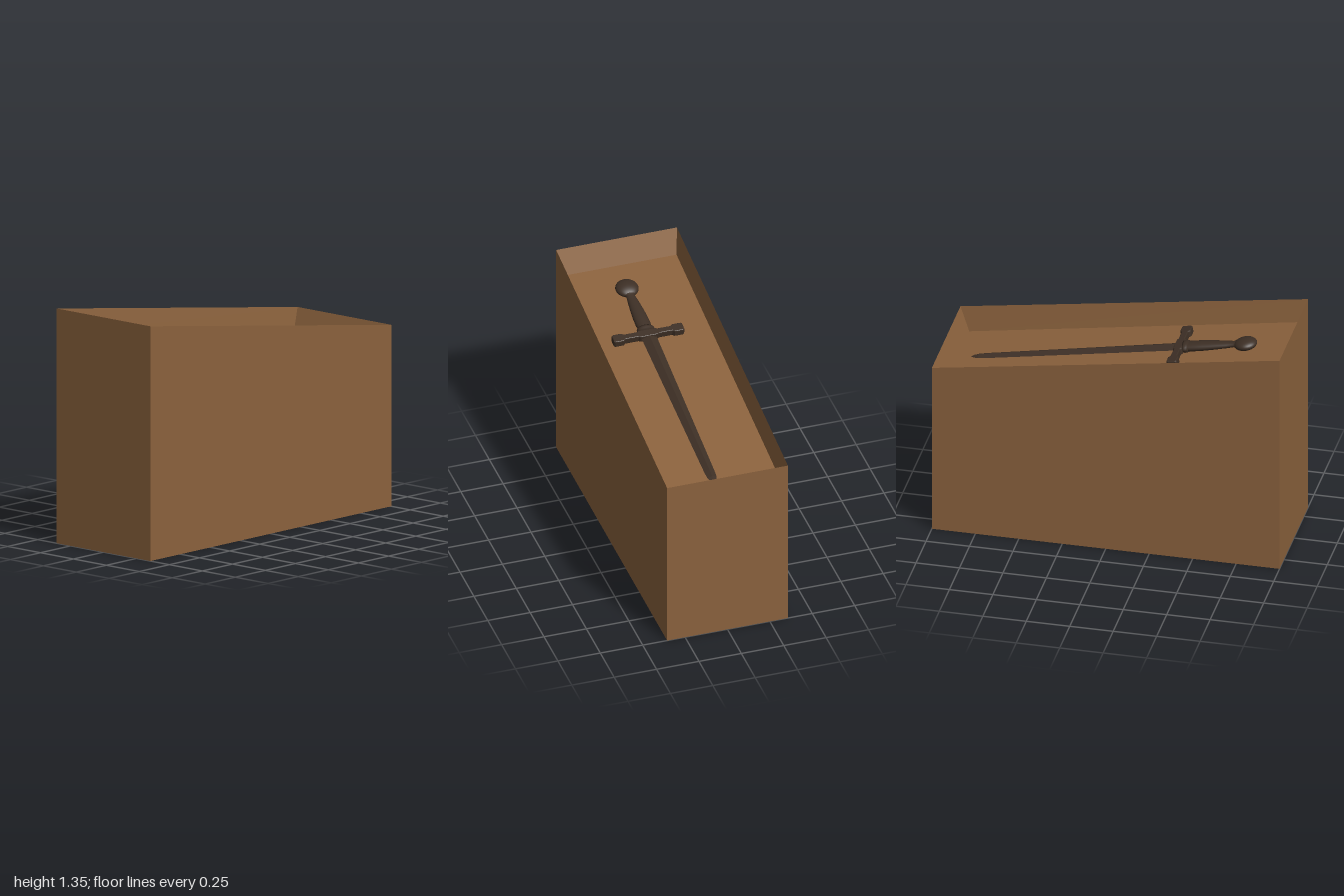
import * as THREE from 'three';

const wood = new THREE.MeshStandardMaterial({ color: 0x8b623d });
const iron = new THREE.MeshStandardMaterial({ color: 0x3d2f25 });
const ironFlat = new THREE.MeshStandardMaterial({ color: 0x3d2f25, flatShading: true });

// Sloped plinth: one skin through four-cornered rings, outside up, then down into the recess
function plinthGeometry() {
  const ring = (hx, hz, yFront, yBack) => [
    [-hx, yFront, hz], [hx, yFront, hz], [hx, yBack, -hz], [-hx, yBack, -hz],
  ];
  const rings = [
    ring(0.356, 1, 0, 0),
    ring(0.356, 1, 1.345, 1.04),
    ring(0.336, 0.945, 1.2, 0.896),
  ];
  const pos = [];
  const quad = (a, b, c, d) => pos.push(...a, ...b, ...c, ...a, ...c, ...d);
  for (let r = 0; r < 2; r++) {
    for (let i = 0; i < 4; i++) {
      const j = (i + 1) % 4;
      quad(rings[r][i], rings[r][j], rings[r + 1][j], rings[r + 1][i]);
    }
  }
  quad(...rings[2]); // recess floor
  quad(...[...rings[0]].reverse()); // underside
  const geo = new THREE.BufferGeometry();
  geo.setAttribute('position', new THREE.Float32BufferAttribute(pos, 3));
  geo.computeVertexNormals();
  return geo;
}

// Turned part lying along z, flattened in height; profile is [radius, z] pairs
function turned(name, profile, sides, flatten, material) {
  const geo = new THREE.LatheGeometry(profile.map(([r, z]) => new THREE.Vector2(r, z)), sides);
  geo.rotateX(Math.PI / 2).scale(1, flatten, 1);
  const mesh = new THREE.Mesh(geo, material);
  mesh.name = name;
  return mesh;
}

function createSword() {
  const sword = new THREE.Group();
  sword.name = 'sword';

  // Diamond-section blade with a short point
  sword.add(turned('blade', [
    [0, -1.22], [0.016, -1.203], [0.027, -1.175], [0.03, -1.13], [0.044, 0],
  ], 4, 0.45, ironFlat));

  // Crossguard outline with flared ends, mirrored left and right
  const half = [
    [0.052, 0.026], [0.06, 0.019], [0.138, 0.019], [0.15, 0.03], [0.2, 0.03], [0.208, 0.022],
  ];
  const right = [...half, ...half.map(([x, z]) => [x, -z]).reverse()];
  const outline = [...right, ...right.map(([x, z]) => [-x, -z])];
  // Walk clockwise from the right half to the mirrored left half
  const shape = new THREE.Shape(outline.map(([x, z]) => new THREE.Vector2(x, z)));
  const guardGeo = new THREE.ExtrudeGeometry(shape, {
    depth: 0.028, bevelEnabled: true, bevelThickness: 0.006, bevelSize: 0.004,
    bevelOffset: -0.004, bevelSegments: 2,
  });
  guardGeo.translate(0, 0, -0.014).rotateX(Math.PI / 2);
  const guard = new THREE.Mesh(guardGeo, iron);
  guard.name = 'crossguard';
  sword.add(guard);

  // Collar, tapering grip and flattened round pommel
  sword.add(turned('collar', [
    [0, 0.02], [0.046, 0.022], [0.051, 0.032], [0.051, 0.046], [0.046, 0.056], [0, 0.058],
  ], 24, 0.6, iron));
  sword.add(turned('grip', [
    [0.041, 0.05], [0.043, 0.09], [0.042, 0.14], [0.037, 0.21],
    [0.03, 0.28], [0.025, 0.315], [0.03, 0.325], [0.03, 0.335],
  ], 24, 0.6, iron));
  const pommel = new THREE.Mesh(new THREE.SphereGeometry(0.066, 32, 20), iron);
  pommel.name = 'pommel';
  pommel.scale.y = 0.48;
  pommel.position.z = 0.384;
  sword.add(pommel);

  // Lies along the sloping recess floor, hilt towards the high end
  sword.position.set(0.032, 1.134, 0.337);
  sword.rotation.x = -0.18;
  return sword;
}

export function createModel() {
  const model = new THREE.Group();
  model.name = 'swordDisplay';
  const plinth = new THREE.Mesh(plinthGeometry(), wood);
  plinth.name = 'plinth';
  model.add(plinth, createSword());
  return model;
}
